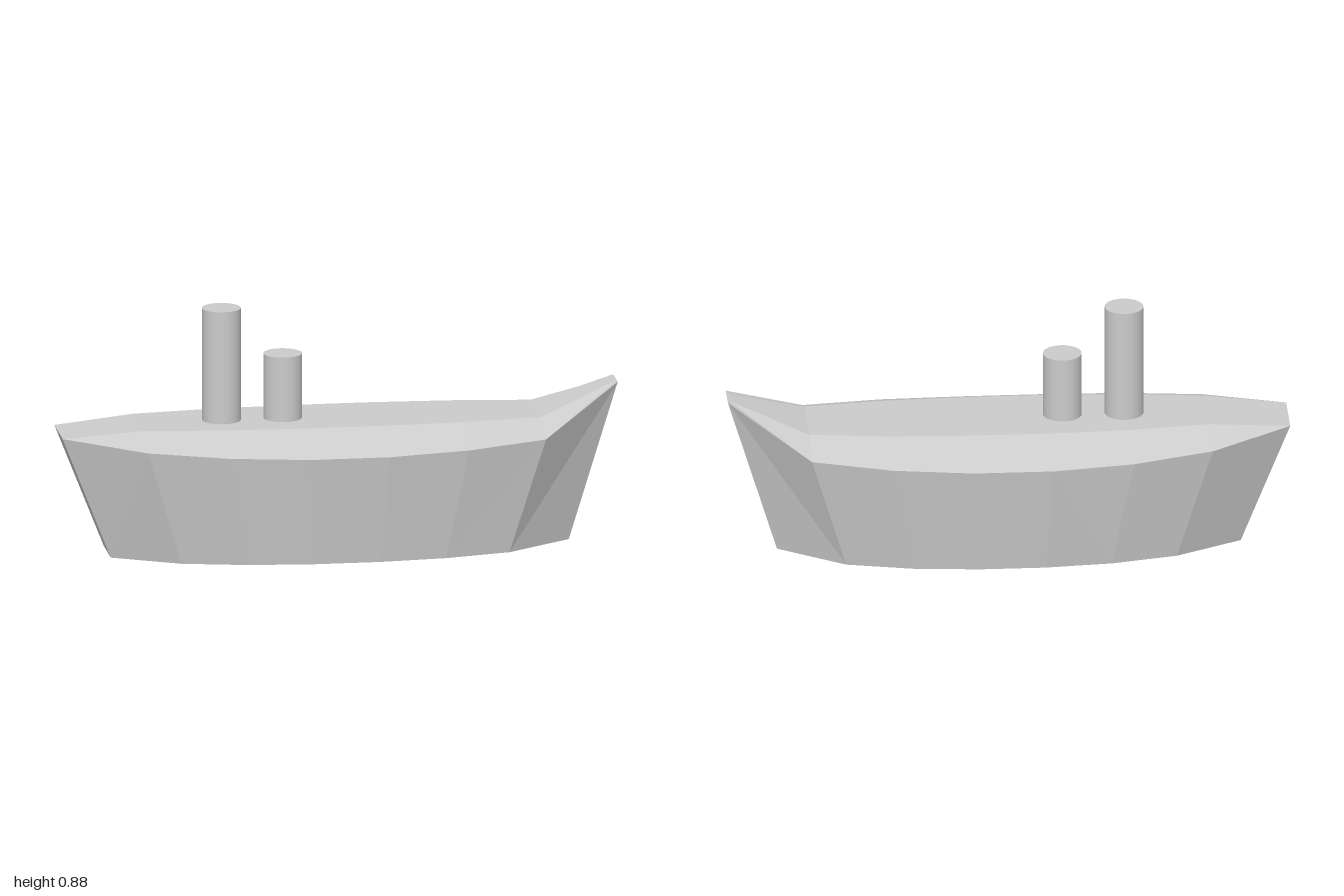
import * as THREE from 'three';

const material = new THREE.MeshStandardMaterial({ color: 0xcccccc, flatShading: true });
const smooth = new THREE.MeshStandardMaterial({ color: 0xcccccc });

// Hull stations, stern to bow: [x, half width, gunwale height, deck height]
const stations = [
  [-1, 0.105, 0.445, 0.445],
  [-0.714, 0.256, 0.42, 0.47],
  [-0.429, 0.32, 0.406, 0.47],
  [-0.143, 0.346, 0.398, 0.47],
  [0.143, 0.346, 0.398, 0.47],
  [0.429, 0.32, 0.406, 0.47],
  [0.714, 0.256, 0.42, 0.47],
  [1, 0.056, 0.571, 0.571],
];
const FLARE = 0.825; // keel plan relative to the gunwale plan

function hullGeometry() {
  const positions = [];
  // Six-point section: bottom, gunwale, deck edge, then mirrored
  for (const [x, w, gunwale, deck] of stations) {
    const bottom = w < 0.1 ? 0.052 : w * FLARE;
    positions.push(
      x * FLARE, 0, -bottom, x, gunwale, -w, x, deck, -w / 2,
      x, deck, w / 2, x, gunwale, w, x * FLARE, 0, bottom,
    );
  }
  const index = [];
  const last = (stations.length - 1) * 6;
  for (let s = 0; s < last; s += 6) {
    for (let j = 0; j < 6; j++) {
      const k = (j + 1) % 6;
      const a = s + j, b = s + k, c = s + 6 + k, d = s + 6 + j;
      // Mirror the diagonals so both sides match
      if (j < 3) index.push(a, b, c, a, c, d);
      else index.push(a, b, d, b, c, d);
    }
  }
  // Stern and bow end faces
  for (let j = 1; j < 5; j++) {
    index.push(0, j + 1, j, last, last + j, last + j + 1);
  }
  const geometry = new THREE.BufferGeometry();
  geometry.setAttribute('position', new THREE.Float32BufferAttribute(positions, 3));
  geometry.setIndex(index);
  const flat = geometry.toNonIndexed();
  flat.computeVertexNormals();
  return flat;
}

function funnel(name, x, top) {
  const base = 0.46;
  const mesh = new THREE.Mesh(new THREE.CylinderGeometry(0.069, 0.069, top - base, 32), smooth);
  mesh.position.set(x, (top + base) / 2, 0);
  mesh.name = name;
  return mesh;
}

export function createModel() {
  const ship = new THREE.Group();
  ship.name = 'ship';
  const hull = new THREE.Mesh(hullGeometry(), material);
  hull.name = 'hull';
  ship.add(hull, funnel('tallFunnel', -0.415, 0.88), funnel('shortFunnel', -0.195, 0.706));
  return ship;
}
